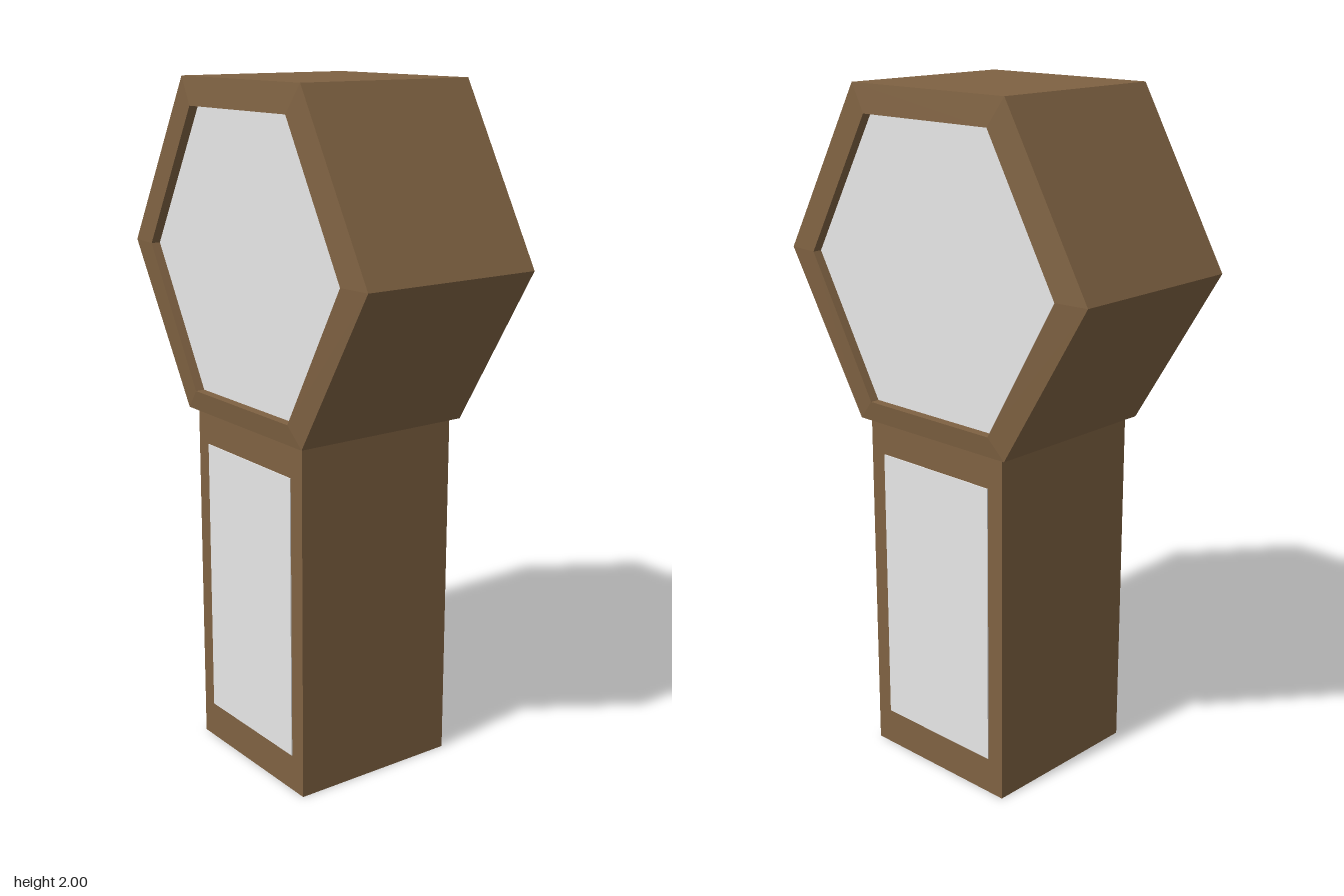
import * as THREE from 'three';

const wood = new THREE.MeshStandardMaterial({ color: 0x7f6242 });
wood.name = 'wood';
wood.flatShading = true;
const white = new THREE.MeshStandardMaterial({ color: 0xffffff });
white.name = 'white';

// Six corners [z, y], running from +z over the top to -z and back underneath
const hexagon = (wide, half, top, bottom) => [
  [wide, 1.51], [half, top], [-half, top], [-wide, 1.51], [-half, bottom], [half, bottom],
];
const outer = hexagon(0.567, 0.285, 2, 1.045);
const inner = hexagon(0.465, 0.232, 1.92, 1.105);

// Skin a row of [x, corners] sections with flat quads
function loft(sections) {
  const pos = [];
  for (let s = 0; s < sections.length - 1; s++) {
    const [xa, a] = sections[s], [xb, b] = sections[s + 1];
    for (let i = 0; i < a.length; i++) {
      const j = (i + 1) % a.length;
      const a0 = [xa, a[i][1], a[i][0]], a1 = [xa, a[j][1], a[j][0]];
      const b0 = [xb, b[i][1], b[i][0]], b1 = [xb, b[j][1], b[j][0]];
      pos.push(...a0, ...b0, ...b1, ...a0, ...b1, ...a1);
    }
  }
  const geo = new THREE.BufferGeometry();
  geo.setAttribute('position', new THREE.Float32BufferAttribute(pos, 3));
  geo.computeVertexNormals();
  return geo;
}

export function createModel() {
  const model = new THREE.Group();
  model.name = 'hexagonalClock';
  const add = (name, geo, material, x = 0, y = 0) => {
    const mesh = new THREE.Mesh(geo, material);
    mesh.name = name;
    mesh.position.set(x, y, 0);
    model.add(mesh);
  };

  // Post, reaching just inside the head
  add('post', new THREE.BoxGeometry(0.522, 1.06, 0.522), wood, 0, 0.53);

  // Head casing: sloping rims on both sides, each with a recess
  add('headCasing', loft([
    [-0.26, inner], [-0.288, inner], [-0.279, outer],
    [0.279, outer], [0.288, inner], [0.26, inner],
  ]), wood);

  // Dial and post panel on each side
  const dial = new THREE.Shape(inner.map(([z, y]) => new THREE.Vector2(z, y)));
  for (const [side, s] of [['left', 1], ['right', -1]]) {
    add(side + 'Dial', new THREE.ShapeGeometry(dial).rotateY(s * Math.PI / 2), white, s * 0.26);
    add(side + 'PostPanel', new THREE.BoxGeometry(0.004, 0.835, 0.416), white, s * 0.262, 0.5275);
  }
  return model;
}
